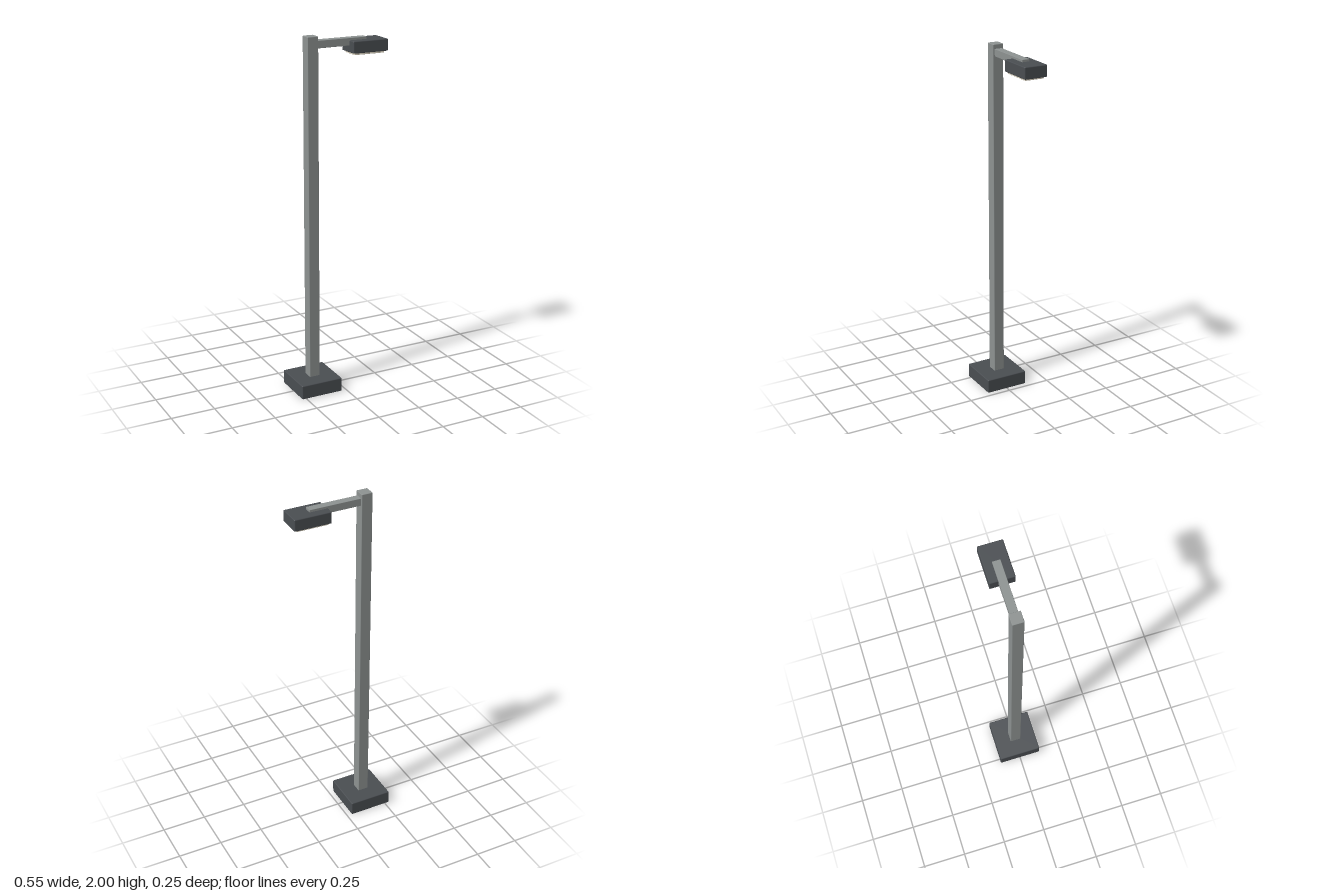
import * as THREE from 'three';
import { RoundedBoxGeometry } from 'three/addons/geometries/RoundedBoxGeometry.js';

const material = (name, color) => {
  const m = new THREE.MeshStandardMaterial({ color });
  m.name = name;
  return m;
};

export function createModel() {
  const group = new THREE.Group();
  group.name = 'streetLamp';

  const steel = material('galvanised steel', 0x8e9392);
  const dark = material('dark grey metal', 0x4a4e52);
  const glow = material('warm lens', 0xe8e0cc);

  // Softly bevelled box given by its x range, y range and depth, centred on z = 0
  const block = (name, mat, [x0, x1], [y0, y1], depth, bevel) => {
    const geometry = new RoundedBoxGeometry(x1 - x0, y1 - y0, depth, 1, bevel);
    const mesh = new THREE.Mesh(geometry, mat);
    mesh.name = name;
    mesh.position.set((x0 + x1) / 2, (y0 + y1) / 2, 0);
    group.add(mesh);
  };

  // Footing and square post
  block('base', dark, [-0.275, -0.029], [0, 0.08], 0.246, 0.005);
  block('pole', steel, [-0.183, -0.121], [0.04, 2], 0.062, 0.003);

  // Arm reaching over the lamp housing
  block('arm', steel, [-0.14, 0.17], [1.935, 1.976], 0.043, 0.002);

  // Lamp housing with the lens set into its underside
  block('lampHead', dark, [0.067, 0.275], [1.898, 1.963], 0.133, 0.005);
  block('lens', glow, [0.08, 0.257], [1.888, 1.908], 0.108, 0.002);

  return group;
}
